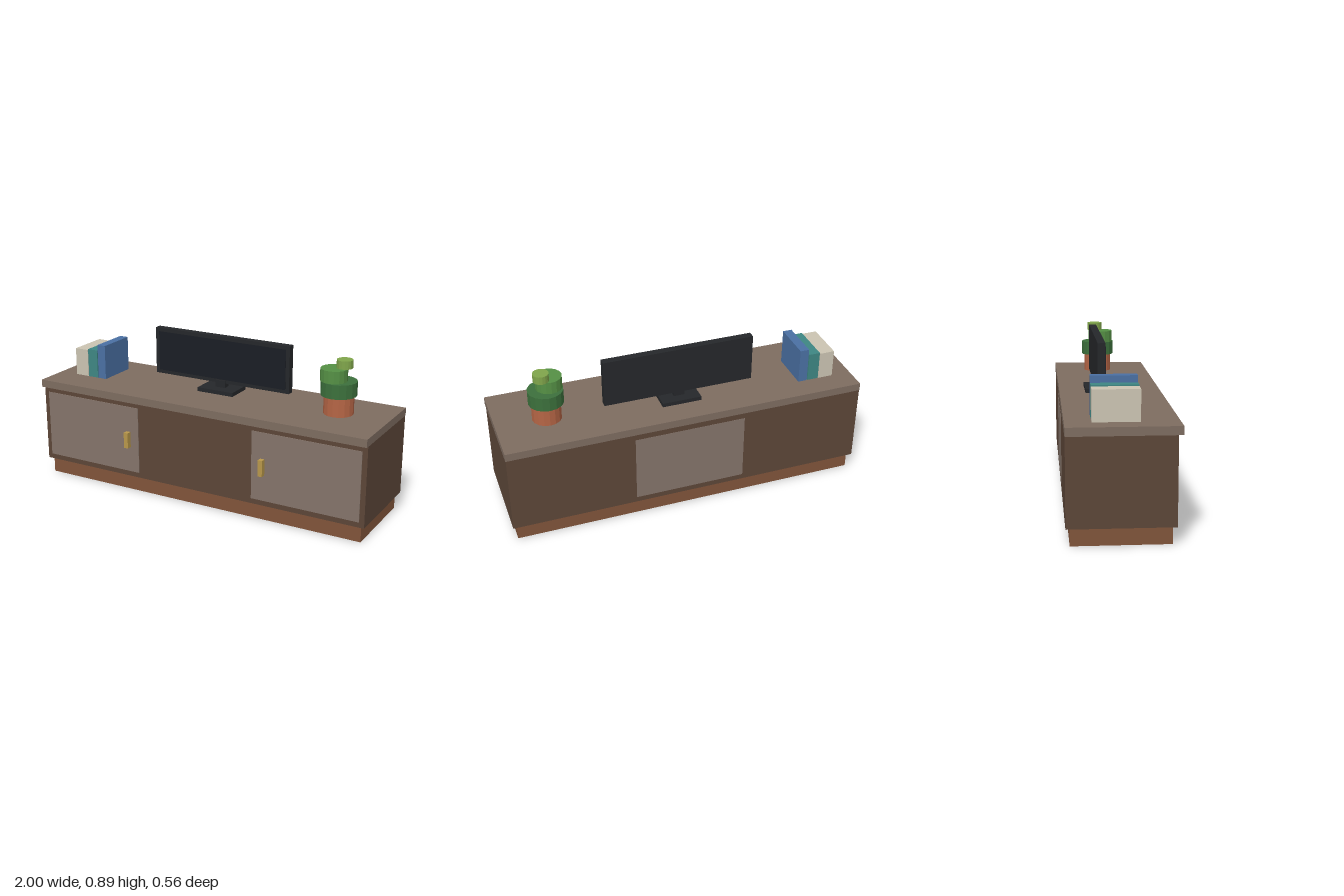
import * as THREE from 'three';

const mat = (color, flatShading = false) => new THREE.MeshStandardMaterial({ color, flatShading });

const WALNUT = mat(0x5c4638), TOP = mat(0x7d6c60), PLINTH = mat(0x80543a), PANEL = mat(0x84746a),
  BRASS = mat(0xb8974a), BLACK = mat(0x25272a), SCREEN = mat(0x1a1d24);

// Box given by its min and max on each axis
function box(parent, name, material, [x0, x1], [y0, y1], [z0, z1]) {
  const mesh = new THREE.Mesh(new THREE.BoxGeometry(x1 - x0, y1 - y0, z1 - z0), material);
  mesh.position.set((x0 + x1) / 2, (y0 + y1) / 2, (z0 + z1) / 2);
  mesh.name = name;
  parent.add(mesh);
}

// Upright faceted cylinder between two heights
function disc(parent, name, color, r, x, z, y0, y1) {
  const mesh = new THREE.Mesh(new THREE.CylinderGeometry(r, r, y1 - y0, 16), mat(color, true));
  mesh.position.set(x, (y0 + y1) / 2, z);
  mesh.name = name;
  parent.add(mesh);
}

function group(parent, name) {
  const g = new THREE.Group();
  g.name = name;
  parent.add(g);
  return g;
}

export function createModel() {
  const model = new THREE.Group();
  model.name = 'mediaConsole';
  const deck = 0.578;

  // Cabinet
  const cabinet = group(model, 'cabinet');
  box(cabinet, 'plinth', PLINTH, [-0.975, 0.975], [0, 0.09], [-0.26, 0.23]);
  box(cabinet, 'body', WALNUT, [-0.998, 0.998], [0.09, 0.535], [-0.28, 0.25]);
  box(cabinet, 'top', TOP, [-1, 1], [0.535, deck], [-0.281, 0.274]);
  box(cabinet, 'backPanel', PANEL, [-0.31, 0.31], [0.12, 0.503], [-0.281, -0.27]);

  // Mirrored doors with handles
  for (const [side, s] of [['left', 1], ['right', -1]]) {
    const door = group(cabinet, side + 'Door');
    const span = (a, b) => [Math.min(a * s, b * s), Math.max(a * s, b * s)];
    box(door, side + 'DoorPanel', PANEL, span(0.355, 0.97), [0.12, 0.503], [0.24, 0.254]);
    box(door, side + 'Handle', BRASS, span(0.407, 0.433), [0.267, 0.357], [0.254, 0.283]);
  }

  // Television
  const tv = group(model, 'television');
  box(tv, 'televisionFoot', BLACK, [-0.11, 0.11], [deck, 0.6], [-0.14, 0.015]);
  box(tv, 'televisionNeck', BLACK, [-0.03, 0.03], [0.6, 0.64], [-0.088, -0.045]);
  box(tv, 'televisionCase', BLACK, [-0.42, 0.42], [0.625, 0.89], [-0.092, -0.051]);
  box(tv, 'televisionScreen', SCREEN, [-0.398, 0.398], [0.645, 0.87], [-0.06, -0.049]);

  // Books
  const books = group(model, 'books');
  const bookSpecs = [
    ['creamBook', 0xcbc4b2, -0.89, -0.806, 0.735],
    ['tealBook', 0x3e8683, -0.803, -0.74, 0.741],
    ['blueBook', 0x4a70a3, -0.735, -0.684, 0.775],
  ];
  for (const [name, color, x0, x1, y1] of bookSpecs)
    box(books, name, mat(color), [x0, x1], [deck, y1], [-0.149, 0.084]);

  // Potted plant made of stacked offset discs
  const plant = group(model, 'pottedPlant');
  disc(plant, 'pot', 0xb56545, 0.08, 0.72, -0.026, deck, 0.68);
  disc(plant, 'lowerLeaves', 0x3c703c, 0.096, 0.718, -0.026, 0.68, 0.757);
  disc(plant, 'middleLeaves', 0x559045, 0.072, 0.694, -0.01, 0.757, 0.824);
  disc(plant, 'upperLeaves', 0x80a54b, 0.043, 0.739, -0.042, 0.824, 0.868);

  return model;
}
